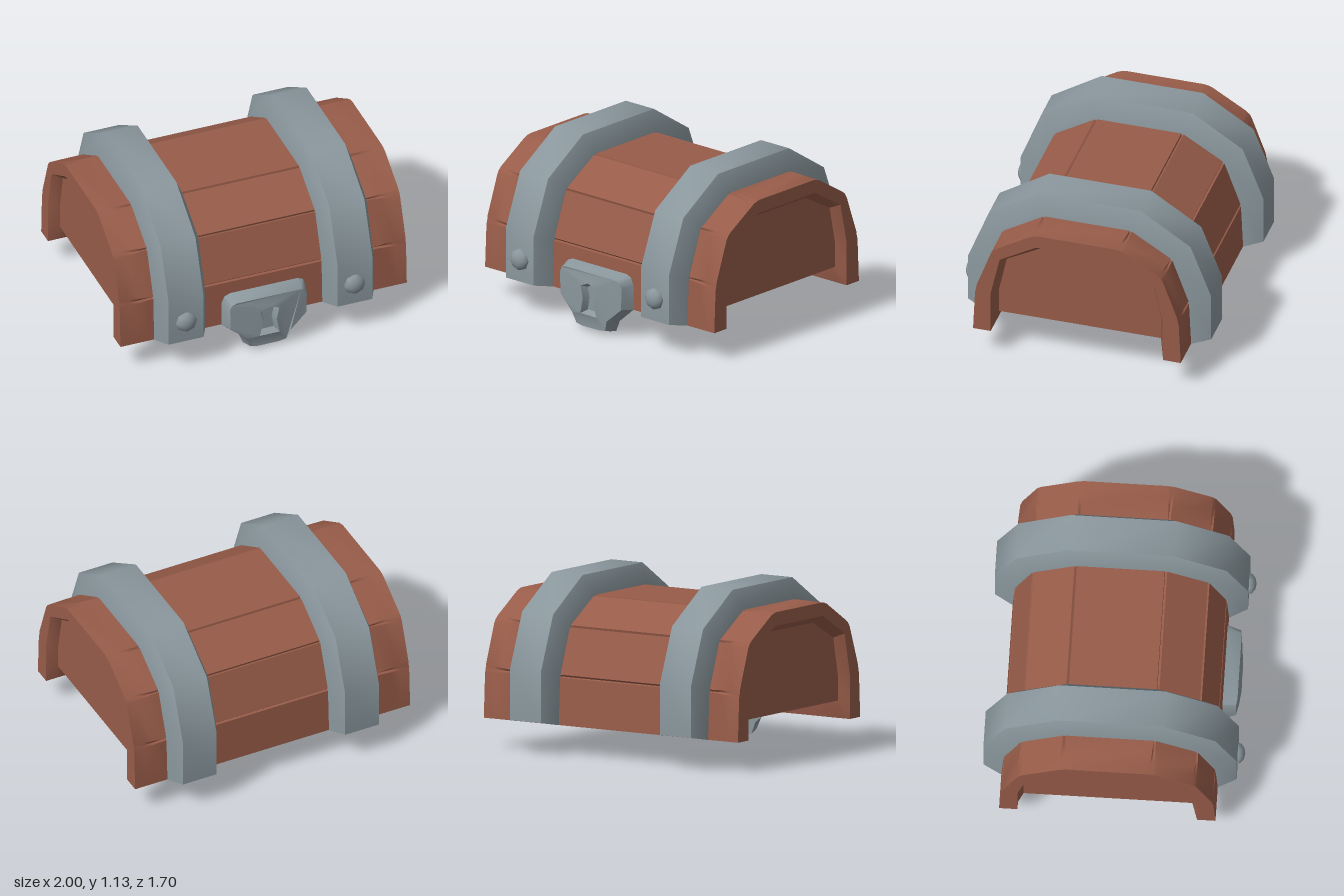
import * as THREE from 'three';
import { toCreasedNormals } from 'three/addons/utils/BufferGeometryUtils.js';

const wood = new THREE.MeshStandardMaterial({ color: 0x985c49 });
wood.name = 'brown wood';
const iron = new THREE.MeshStandardMaterial({ color: 0x8a979d });
iron.name = 'grey iron';

// Geometry from a flat list of corner points: gentle bends smooth, sharp edges kept
function surface(points) {
  const g = new THREE.BufferGeometry();
  g.setAttribute('position', new THREE.Float32BufferAttribute(points.flat(), 3));
  return toCreasedNormals(g, 0.68);
}

const flat2 = (loop) => loop.map(([x, y]) => new THREE.Vector2(x, y));

// Skin a stack of counter-clockwise loops of [x, y, depth]; optionally cap the ends
function loft(loops, capFirst = true, capLast = true) {
  const out = [];
  const n = loops[0].length;
  for (let i = 0; i < loops.length - 1; i++) {
    for (let j = 0; j < n; j++) {
      const k = (j + 1) % n;
      const a = loops[i][j], b = loops[i][k], c = loops[i + 1][k], d = loops[i + 1][j];
      out.push(a, b, c, a, c, d);
    }
  }
  const cap = (loop, flip) => {
    for (const [a, b, c] of THREE.ShapeUtils.triangulateShape(flat2(loop), [])) {
      out.push(loop[a], loop[flip ? c : b], loop[flip ? b : c]);
    }
  };
  if (capFirst) cap(loops[0], true);
  if (capLast) cap(loops[loops.length - 1], false);
  return surface(out);
}

// Symmetric arch from [half width, height] pairs, centred slightly behind the middle
const CENTRE = 0.025;
function arch(half) {
  const right = half.map(([w, y]) => [CENTRE + w, y]);
  const left = half.map(([w, y]) => [CENTRE - w, y]).reverse();
  return [...right, ...left];
}
const ring = (outer, inner) => [...outer, ...[...inner].reverse()];
const at = (loop, depth) => loop.map(([x, y]) => [x, y, depth]);

// Pull every bend of an arch inward: a soft chamfer when shallow, a plank seam when deep
function seamed(path, depth, width) {
  const out = [path[0]];
  const lerp = (a, b, t) => [a[0] + (b[0] - a[0]) * t, a[1] + (b[1] - a[1]) * t];
  const toward = (a, b, d) => lerp(a, b, d / Math.hypot(b[0] - a[0], b[1] - a[1]));
  for (let i = 1; i < path.length - 1; i++) {
    const p = path[i];
    out.push(toward(p, path[i - 1], width), toward(p, [CENTRE, 0.35], depth), toward(p, path[i + 1], width));
  }
  out.push(path[path.length - 1]);
  return out;
}

function add(group, name, geometry, material) {
  const mesh = new THREE.Mesh(geometry, material);
  mesh.name = name;
  group.add(mesh);
  return mesh;
}

export function createModel() {
  const model = new THREE.Group();
  model.name = 'chestLid';

  // Parts lofted along x: turned so that depth runs to +x
  const lid = new THREE.Group();
  lid.name = 'lid';
  lid.rotation.y = Math.PI / 2;
  model.add(lid);

  // Hollow wooden shell: bevelled rims at the ends, straight-sided inside
  const outer = arch([[0.705, 0.2], [0.69, 0.52], [0.575, 0.835], [0.295, 1.005]]);
  const rim = arch([[0.585, 0.2], [0.585, 0.32], [0.585, 0.5], [0.525, 0.77], [0.275, 0.915]]);
  const recess = arch([[0.585, 0.2], [0.55, 0.32], [0.55, 0.49], [0.497, 0.74], [0.265, 0.867]]);
  const hollow = arch([[0.585, 0.2], [0.56, 0.32], [0.54, 0.49], [0.497, 0.76], [0.265, 0.867]]);
  const half = [[0.8, hollow, 0.016, 0.009], [0.86, recess, 0.012, 0.014], [0.93, recess, 0.008, 0.02], [1, rim, 0.006, 0.03]];
  const stations = [...half.map(([x, ...rest]) => [-x, ...rest]).reverse(), ...half];
  add(lid, 'shell', loft(stations.map(([x, inner, d, w]) => at(ring(seamed(outer, d, w), inner), x))), wood);

  // Recessed end panels
  const panel = arch([[0.55, 0.32], [0.55, 0.49], [0.497, 0.74], [0.265, 0.867]]);
  for (const [name, x] of [['rightPanel', -0.93], ['leftPanel', 0.83]]) {
    add(lid, name, loft([at(panel, x), at(panel, x + 0.1)]), wood);
  }

  // Bevelled iron straps
  const base = arch([[0.71, 0.2], [0.7, 0.525], [0.585, 0.84], [0.3, 1.01]]);
  const under = arch([[0.69, 0.2], [0.675, 0.52], [0.56, 0.815], [0.285, 0.985]]);
  const top = arch([[0.825, 0.222], [0.825, 0.56], [0.685, 0.92], [0.345, 1.138]]);
  for (const [name, s] of [['rightStrap', -1], ['leftStrap', 1]]) {
    const section = [[0.41, base], [0.468, top], [0.712, top], [0.765, base]];
    const loops = section.map(([x, profile]) => at(ring(profile, under), s * x));
    if (s < 0) loops.reverse();
    add(lid, name, loft(loops), iron);

    // Domed rivet near the front end of the strap
    const rivet = add(model, name.replace('Strap', 'Rivet'), new THREE.SphereGeometry(0.076, 8, 6), iron);
    rivet.geometry.rotateX(Math.PI / 2);
    rivet.position.set(s * 0.588, 0.375, 0.795);
    rivet.scale.z = 0.7;
  }

  // Lock plate: sloping sides, slightly bulging face and a sunken keyhole
  const mirror = (side) => [...side, ...side.map(([x, y]) => [-x, y]).reverse()];
  const edge = mirror([[0.09, 0.005], [0.145, 0.02], [0.175, 0.095], [0.295, 0.2], [0.295, 0.365], [0.275, 0.415], [0.235, 0.432]]);
  const face = mirror([[0.075, 0.03], [0.125, 0.038], [0.15, 0.11], [0.265, 0.212], [0.268, 0.36], [0.255, 0.39], [0.225, 0.407]]);
  const keyhole = (side, peak) => [...side, [0, peak], ...side.map(([x, y]) => [-x, y]).reverse()];
  const bulge = ([x, y]) => [x, y, 0.795 - 0.4 * x * x - 0.25 * Math.max(0, 0.13 - y)];
  const front = face.map(bulge);
  const hole = keyhole([[0.07, 0.122], [0.045, 0.23], [0.065, 0.315]], 0.342).map(bulge);
  const holeFloor = keyhole([[0.045, 0.142], [0.03, 0.23], [0.045, 0.297]], 0.318);

  const lock = new THREE.Group();
  lock.name = 'lock';
  model.add(lock);
  add(lock, 'lockBody', loft([at(edge, 0.68), front], true, false), iron);
  const cut = [...hole].reverse();
  const corners = [...front, ...cut];
  const tris = THREE.ShapeUtils.triangulateShape(flat2(front), [flat2(cut)]);
  add(lock, 'lockFace', surface(tris.flat().map((i) => corners[i])), iron);
  add(lock, 'keyhole', loft([hole, at(holeFloor, 0.745)], false, true), iron);

  return model;
}
